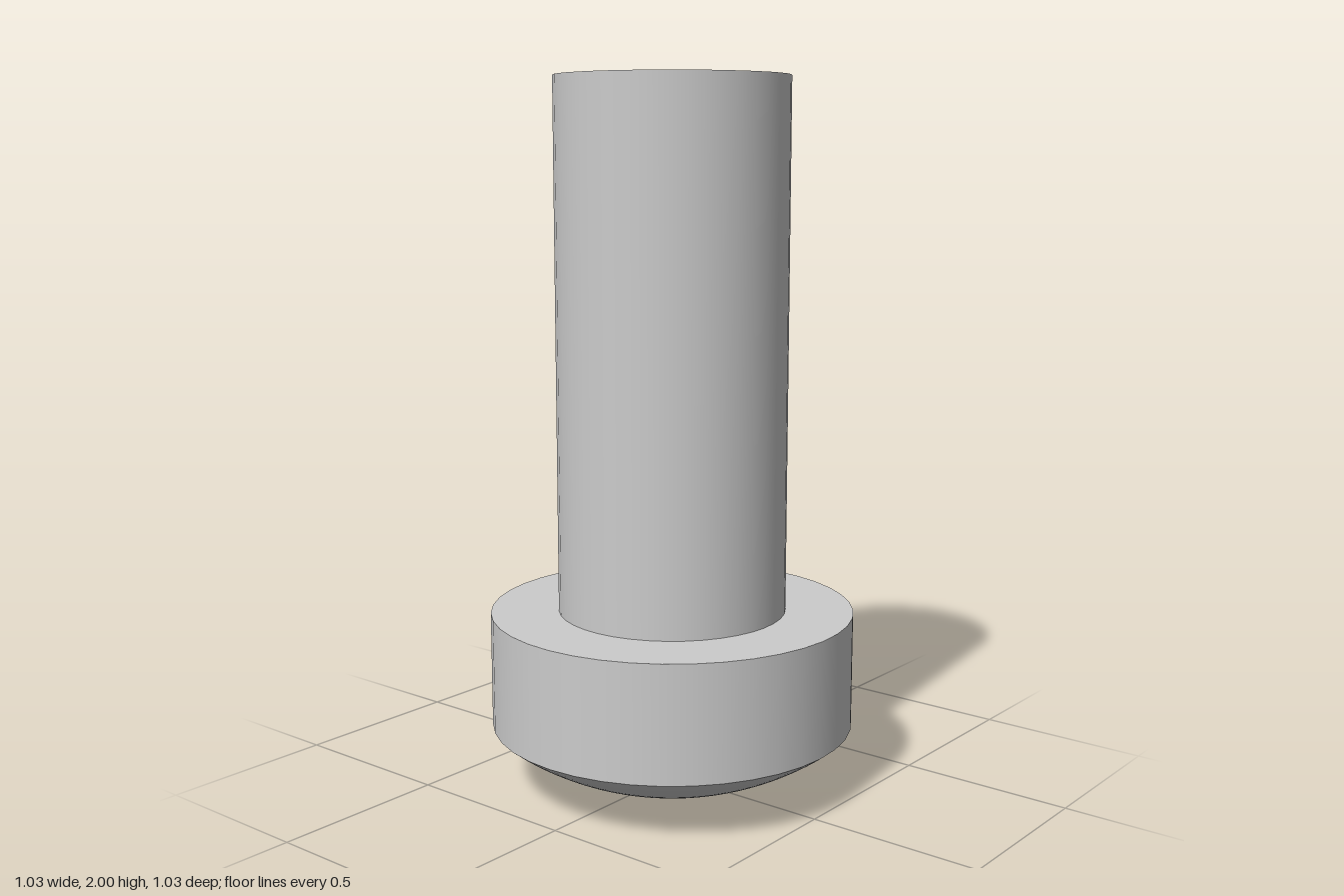
import * as THREE from 'three';

const SIDES = 40, HEAD_R = 0.517, SHAFT_R = 0.324;
const RIM_Y = 0.18, SHOULDER_Y = 0.51, TOP_Y = 2;
const SOCKET = 0.057;                 // half side of the square socket
const ARM_END = 0.28, ARM_TIP = 0.02; // reach and half width of the cross arms

const material = new THREE.MeshStandardMaterial({ color: 0xcccccc });

function part(name, geometry, y = 0) {
  const mesh = new THREE.Mesh(geometry, material);
  mesh.name = name;
  mesh.position.y = y;
  return mesh;
}

// Spherical cap: y = 0 at the centre, RIM_Y at the edge of the head
const SPHERE_R = (HEAD_R ** 2 + RIM_Y ** 2) / (2 * RIM_Y);
const capY = r => SPHERE_R - Math.sqrt(SPHERE_R ** 2 - r ** 2);

// Cap height, with four shallow tapering arms cut as flat ramps
function domeY(x, z) {
  const y = capY(Math.hypot(x, z));
  const along = Math.max(Math.abs(x), Math.abs(z));
  const across = Math.min(Math.abs(x), Math.abs(z));
  const t = (along - SOCKET) / (ARM_END - SOCKET);
  if (t > 1 || across > THREE.MathUtils.lerp(SOCKET, ARM_TIP, t) + 1e-6) return y;
  return Math.max(y, THREE.MathUtils.lerp(capY(SOCKET), capY(ARM_END), t));
}

// Domed face blending from the square socket mouth out to the round rim
function domeGeometry() {
  const rings = 20, segments = SIDES * 2;
  const positions = [], index = [];
  for (let i = 0; i <= rings; i++) {
    for (let j = 0; j < segments; j++) {
      const a = (j / segments) * Math.PI * 2;
      const c = Math.cos(a), s = Math.sin(a);
      const inner = SOCKET / Math.max(Math.abs(c), Math.abs(s));
      // Odd points sit on the straight sides of the outer polygon
      const outer = j % 2 ? HEAD_R * Math.cos(Math.PI / SIDES) : HEAD_R;
      const r = THREE.MathUtils.lerp(inner, outer, i / rings);
      positions.push(r * c, i === rings ? RIM_Y : domeY(r * c, r * s), r * s);
      if (i === rings) continue;
      const k = (j + 1) % segments;
      const p = i * segments + j, q = i * segments + k;
      index.push(p, p + segments, q, q, p + segments, q + segments);
    }
  }
  const g = new THREE.BufferGeometry();
  g.setAttribute('position', new THREE.Float32BufferAttribute(positions, 3));
  g.setIndex(index);
  g.computeVertexNormals();
  return g;
}

// Square socket: four slightly tapered inner walls and a floor
function socketGeometry() {
  const depth = 0.17, end = SOCKET * 0.8;
  const mouthY = capY(SOCKET);
  const corners = [[1, 1], [-1, 1], [-1, -1], [1, -1]];
  const low = corners.map(([x, z]) => [x * SOCKET, mouthY, z * SOCKET]);
  const high = corners.map(([x, z]) => [x * end, depth, z * end]);
  const positions = [];
  const quad = (a, b, c, d) => positions.push(...a, ...b, ...c, ...a, ...c, ...d);
  for (let i = 0; i < 4; i++) {
    const k = (i + 1) % 4;
    quad(low[i], low[k], high[k], high[i]);
  }
  quad(...high);
  const g = new THREE.BufferGeometry();
  g.setAttribute('position', new THREE.Float32BufferAttribute(positions, 3));
  g.computeVertexNormals();
  return g;
}

export function createModel() {
  const group = new THREE.Group();
  group.name = 'screw';

  // Plain round shaft standing on the head
  const shaftH = TOP_Y - SHOULDER_Y;
  group.add(part('shaft', new THREE.CylinderGeometry(SHAFT_R, SHAFT_R, shaftH, SIDES), SHOULDER_Y + shaftH / 2));

  // Head collar
  const headH = SHOULDER_Y - RIM_Y;
  group.add(part('head', new THREE.CylinderGeometry(HEAD_R, HEAD_R, headH, SIDES), RIM_Y + headH / 2));

  // Domed underside with its driver recess
  group.add(part('headDome', domeGeometry()));
  const socket = part('driverSocket', socketGeometry());
  socket.material = material.clone();
  socket.material.side = THREE.DoubleSide;
  group.add(socket);

  return group;
}
